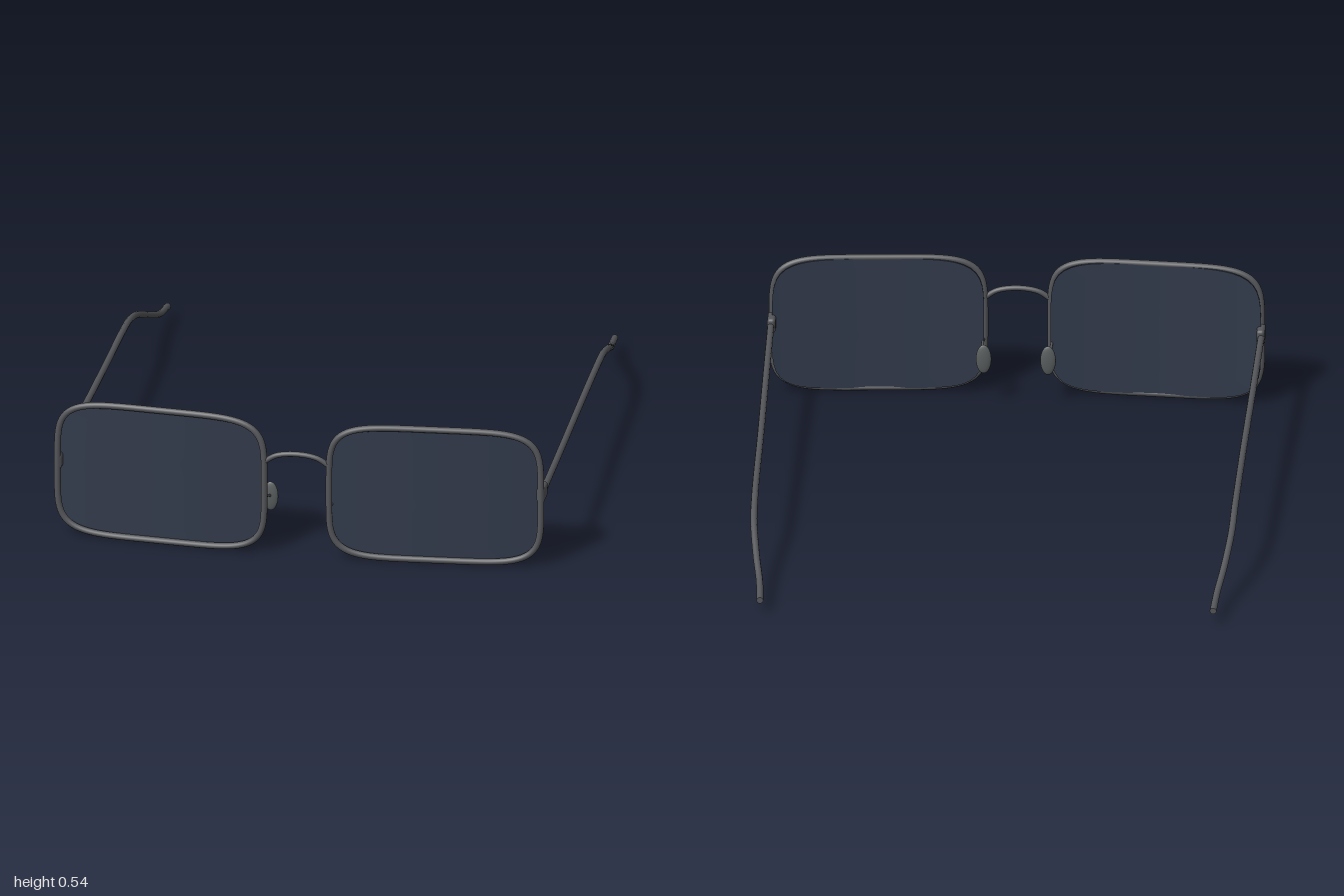
import * as THREE from 'three';
import { toCreasedNormals } from 'three/addons/utils/BufferGeometryUtils.js';
import { ParametricGeometry } from 'three/addons/geometries/ParametricGeometry.js';
import { RoundedBoxGeometry } from 'three/addons/geometries/RoundedBoxGeometry.js';

const V = (x, y, z) => new THREE.Vector3(x, y, z);
const CX = 0.5, CY = 0.268, HW = 0.382, HH = 0.256; // rim centre and half size

// The front sweeps back in a straight line towards the temples
const sweepZ = (x) => 0.993 - 0.07 * Math.abs(x);

// Rounded-rectangle outline (superellipse) around the rim centre
function outline(angle, scale = 1) {
  const c = Math.cos(angle), s = Math.sin(angle);
  const r = scale / Math.pow(Math.abs(c / HW) ** 5 + Math.abs(s / HH) ** 5, 0.2);
  return [r * c, r * s];
}

function tube(points, radius, segments, closed = false) {
  const curve = new THREE.CatmullRomCurve3(points, closed);
  return new THREE.TubeGeometry(curve, segments, radius, 10, closed);
}

// Thin plate bowed around a vertical axis, with front, edge and back
function lensGeometry(side) {
  const geo = new ParametricGeometry((u, v, target) => {
    const s = v * 13;
    const r = Math.min(1, s / 6, (13 - s) / 6);
    const [dx, dy] = outline(-u * Math.PI * 2, r * 0.995);
    const x = side * CX + dx;
    const thick = 0.003 - 0.006 * THREE.MathUtils.clamp(s - 6, 0, 1);
    target.set(x, CY + dy, sweepZ(x) - 0.007 - 0.023 * (dx / HW) ** 2 + thick);
  }, 96, 13);
  return toCreasedNormals(geo, 0.7);
}

export function createModel() {
  const group = new THREE.Group();
  const metal = new THREE.MeshStandardMaterial({ name: 'gunmetal', color: 0x55565a });
  const glass = new THREE.MeshStandardMaterial({ name: 'dark tinted glass', color: 0x323a4b });
  const padMat = new THREE.MeshStandardMaterial({ name: 'nose pad grey', color: 0x5a5e5e });

  function add(name, geometry, material) {
    const mesh = new THREE.Mesh(geometry, material);
    mesh.name = name;
    group.add(mesh);
    return mesh;
  }

  // Arched bridge
  add('bridge', tube([
    V(-0.118, 0.365, 0.985), V(-0.075, 0.392, 0.986), V(0, 0.403, 0.987),
    V(0.075, 0.392, 0.986), V(0.118, 0.365, 0.985),
  ], 0.01, 32), metal);

  for (const side of [1, -1]) {
    const label = side > 0 ? 'left' : 'right';

    // Rim and lens
    const rim = [];
    for (let i = 0; i < 80; i++) {
      const [dx, dy] = outline((i / 80) * Math.PI * 2);
      const x = side * CX + dx;
      rim.push(V(x, CY + dy, sweepZ(x)));
    }
    add(label + 'Rim', tube(rim, 0.012, 160, true), metal);
    add(label + 'Lens', lensGeometry(side), glass);

    // Hinge block
    const hinge = add(label + 'Hinge', new RoundedBoxGeometry(0.03, 0.058, 0.08, 3, 0.012), metal);
    hinge.position.set(side * 0.881, 0.284, 0.9);

    // Temple arm with drooping, inward-turned tip
    const path = [
      [0.883, 0.284, 0.88], [0.877, 0.267, 0.45], [0.87, 0.25, 0], [0.866, 0.236, -0.36],
      [0.864, 0.224, -0.48], [0.86, 0.187, -0.61], [0.841, 0.118, -0.77],
      [0.824, 0.075, -0.88], [0.816, 0.053, -1],
    ].map(([x, y, z]) => V(side * x, y, z));
    add(label + 'Temple', tube(path, 0.0125, 80), metal);
    const cap = add(label + 'TempleTip', new THREE.CircleGeometry(0.0125, 10), metal);
    cap.position.copy(path[path.length - 1]);
    cap.rotation.y = Math.PI;

    // Nose pad on its wire
    add(label + 'PadWire', tube([
      V(side * 0.122, 0.205, 0.982), V(side * 0.124, 0.203, 0.94),
      V(side * 0.12, 0.19, 0.89), V(side * 0.116, 0.178, 0.865),
    ], 0.005, 20), metal);
    const pad = add(label + 'NosePad', new THREE.SphereGeometry(1, 24, 16), padMat);
    pad.scale.set(0.028, 0.056, 0.01);
    pad.position.set(side * 0.116, 0.176, 0.862);
  }
  return group;
}
